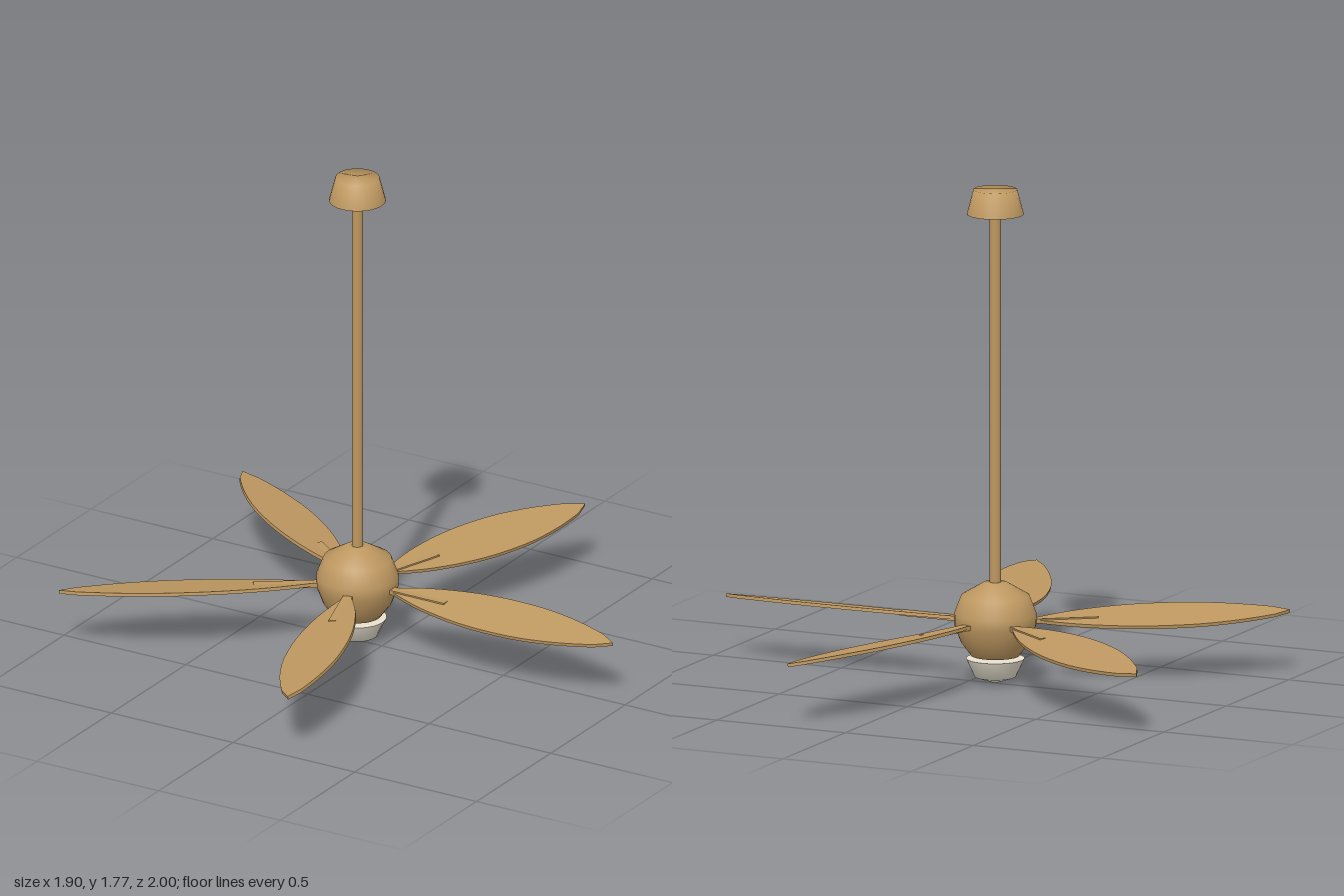
import * as THREE from 'three';

const AXIS_X = -0.1;   // the hub sits off-centre because of the five blades
const BLADE_Y = 0.22;
const PITCH = 0.19;

export function createModel() {
  const fan = new THREE.Group();
  fan.name = 'ceilingFan';
  const wood = new THREE.MeshStandardMaterial({ color: 0xbd9760, side: THREE.DoubleSide });
  wood.name = 'tan wood';
  const glass = new THREE.MeshStandardMaterial({ color: 0xe9e1cf, side: THREE.DoubleSide });
  glass.name = 'cream glass';

  function add(name, geometry, material, parent = fan) {
    const mesh = new THREE.Mesh(geometry, material);
    mesh.name = name;
    parent.add(mesh);
    return mesh;
  }
  // Smooth turned part, profile as [radius, y] from bottom to top
  function turned(name, profile, material) {
    const points = profile.map(([r, y]) => new THREE.Vector2(r, y));
    add(name, new THREE.LatheGeometry(points, 28), material).position.x = AXIS_X;
  }

  // Ceiling canopy, open underneath
  turned('canopy', [[0.1, 1.68], [0.077, 1.768], [0, 1.77]], wood);

  // Down rod
  const rod = add('downRod', new THREE.CylinderGeometry(0.02, 0.02, 1.4, 16), wood);
  rod.position.set(AXIS_X, 1.03, 0);

  // Motor housing
  turned('motorHousing', [[0, 0.09], [0.085, 0.1], [0.122, 0.15], [0.144, 0.21],
    [0.145, 0.25], [0.12, 0.315], [0.042, 0.361], [0, 0.364]], wood);

  // Glass lamp bowl
  turned('lampBowl', [[0, 0], [0.073, 0.025], [0.103, 0.09]], glass);
  const lid = add('lampLid', new THREE.CircleGeometry(0.103, 28), glass);
  lid.rotation.x = -Math.PI / 2;
  lid.position.set(AXIS_X, 0.09, 0);

  // Leaf-shaped blade outline: one edge as [distance from hub, half width], mirrored
  const edge = new THREE.SplineCurve([[0.13, 0.006], [0.2, 0.034], [0.29, 0.064], [0.4, 0.088],
    [0.5, 0.101], [0.6, 0.105], [0.72, 0.1], [0.84, 0.08], [0.93, 0.056], [0.99, 0.036]]
    .map(([r, w]) => new THREE.Vector2(r, w))).getPoints(22);
  const mirrored = edge.map(p => new THREE.Vector2(p.x, -p.y)).reverse();
  const outline = new THREE.Shape([...mirrored, ...edge]
    .toSpliced(0, 0, new THREE.Vector2(1.05, 0)));
  const bladeGeometry = new THREE.ExtrudeGeometry(outline, { depth: 0.012, bevelEnabled: false });
  bladeGeometry.translate(0, 0, -0.006);
  bladeGeometry.rotateX(-Math.PI / 2);
  const armGeometry = new THREE.BoxGeometry(0.27, 0.016, 0.034);

  // Five pitched blades, each on a level arm
  for (let i = 0; i < 5; i++) {
    const unit = new THREE.Group();
    unit.name = 'bladeUnit' + (i + 1);
    unit.position.set(AXIS_X, BLADE_Y, 0);
    unit.rotation.y = i * Math.PI * 2 / 5;
    add('blade', bladeGeometry, wood, unit).rotation.x = PITCH;
    add('bladeArm', armGeometry, wood, unit).position.set(0.23, 0, 0);
    fan.add(unit);
  }
  return fan;
}
